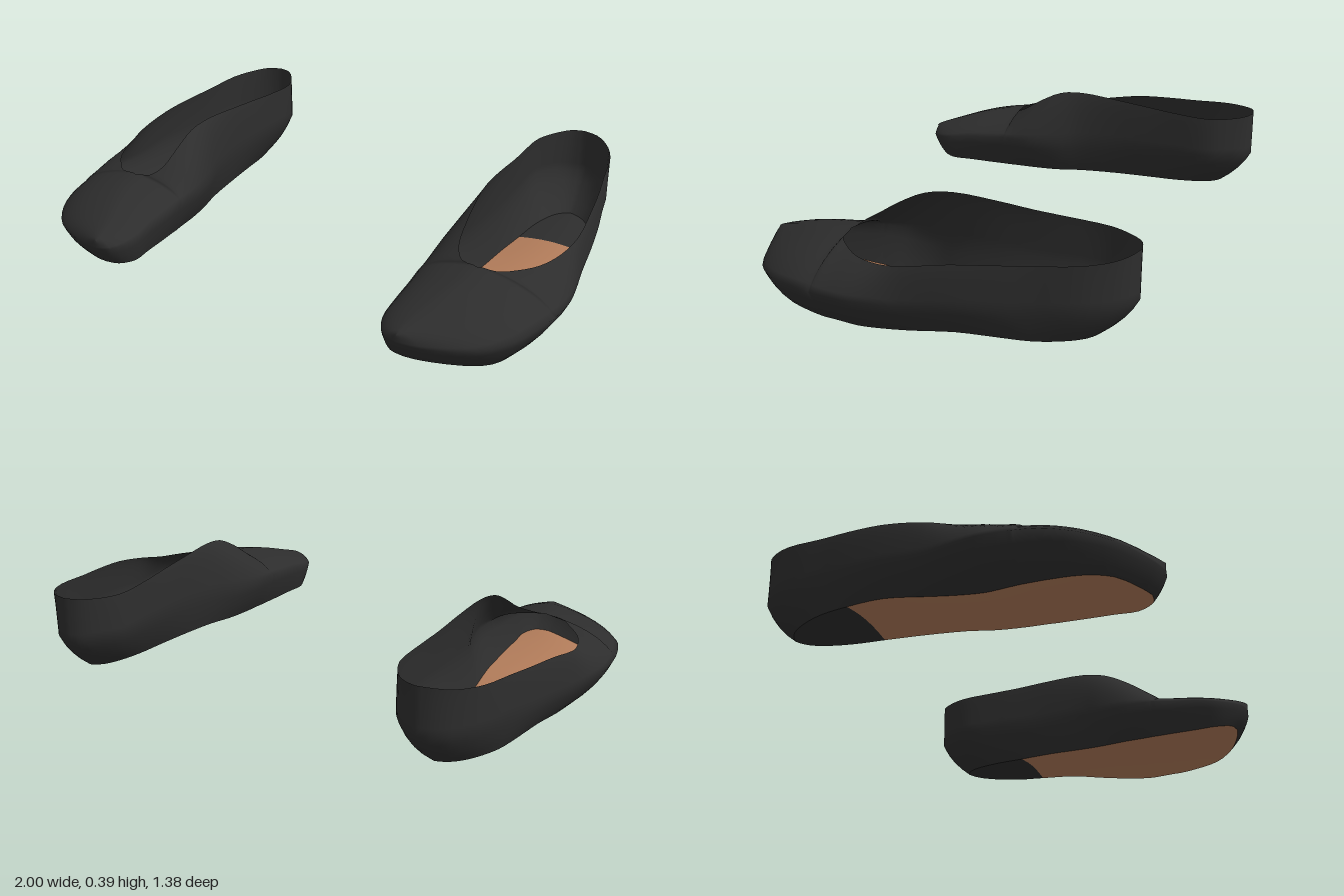
import * as THREE from 'three';
import { mergeVertices } from 'three/addons/utils/BufferGeometryUtils.js';

// Stations from toe to heel: [z, soleX, soleY, widestX, widestY, rimX, rimY]
const OUTER = [
  [0.69, 0.61, 0.05, 0.61, 0.125, 0.61, 0.155],
  [0.675, 0.66, 0.045, 0.685, 0.12, 0.615, 0.165],
  [0.6, 0.79, 0.035, 0.85, 0.12, 0.64, 0.19],
  [0.5, 0.86, 0.02, 0.935, 0.13, 0.68, 0.22],
  [0.4, 0.89, 0.01, 0.975, 0.14, 0.71, 0.24],
  [0.325, 0.9, 0.005, 0.992, 0.14, 0.715, 0.25],
  [0.315, 0.9, 0.005, 0.993, 0.14, 0.78, 0.247],
  [0.27, 0.9, 0.003, 0.998, 0.14, 0.83, 0.243],
  [0.2, 0.9, 0.0, 1.0, 0.14, 0.885, 0.243],
  [0.1, 0.9, 0.01, 0.985, 0.14, 0.922, 0.25],
  [0, 0.9, 0.025, 0.965, 0.14, 0.94, 0.27],
  [-0.15, 0.895, 0.05, 0.945, 0.16, 0.93, 0.3],
  [-0.29, 0.88, 0.055, 0.92, 0.17, 0.91, 0.315],
  [-0.4, 0.86, 0.055, 0.895, 0.18, 0.888, 0.325],
  [-0.55, 0.82, 0.055, 0.86, 0.19, 0.86, 0.34],
  [-0.64, 0.78, 0.055, 0.805, 0.19, 0.81, 0.35],
  [-0.68, 0.745, 0.055, 0.755, 0.19, 0.76, 0.358],
  [-0.695, 0.72, 0.055, 0.71, 0.19, 0.705, 0.36],
];
const INNER = [
  [0.69, 0.61, 0.05, 0.61, 0.125, 0.61, 0.155],
  [0.675, 0.56, 0.05, 0.555, 0.13, 0.615, 0.165],
  [0.6, 0.53, 0.045, 0.512, 0.14, 0.64, 0.19],
  [0.5, 0.535, 0.045, 0.508, 0.16, 0.68, 0.22],
  [0.4, 0.54, 0.045, 0.505, 0.17, 0.71, 0.24],
  [0.325, 0.545, 0.045, 0.502, 0.18, 0.715, 0.25],
  [0.315, 0.545, 0.045, 0.502, 0.18, 0.655, 0.255],
  [0.27, 0.55, 0.045, 0.5, 0.18, 0.622, 0.28],
  [0.2, 0.555, 0.045, 0.502, 0.18, 0.612, 0.325],
  [0.1, 0.57, 0.045, 0.525, 0.18, 0.607, 0.375],
  [0, 0.59, 0.05, 0.557, 0.19, 0.597, 0.39],
  [-0.15, 0.605, 0.055, 0.573, 0.2, 0.588, 0.382],
  [-0.29, 0.62, 0.055, 0.572, 0.2, 0.583, 0.37],
  [-0.4, 0.63, 0.055, 0.57, 0.2, 0.575, 0.362],
  [-0.55, 0.65, 0.055, 0.57, 0.2, 0.575, 0.355],
  [-0.64, 0.675, 0.055, 0.62, 0.2, 0.62, 0.357],
  [-0.68, 0.7, 0.055, 0.665, 0.19, 0.66, 0.36],
  [-0.695, 0.72, 0.055, 0.71, 0.19, 0.705, 0.36],
];
const STEPS = 3;                        // rows per station
const ROWS = (OUTER.length - 1) * STEPS;
const SEAM_ROW = 5 * STEPS;             // the top is closed in front of this row
const HEEL_ROW = 12 * STEPS;            // the sole patch changes here
const ACROSS = 6;

// The sole is shorter than the upper at both ends
function soleZ(z) {
  if (z < -0.4) return -0.4 + (z + 0.4) * 0.6;
  return z > 0.5 ? 0.5 + (z - 0.5) * 0.75 : z;
}

// Smooth rails along the foot, sampled row by row
function rails(table) {
  const rail = (col, zOf) => {
    const curve = new THREE.CatmullRomCurve3(
      table.map(s => new THREE.Vector3(s[col], s[col + 1], zOf(s[0]))));
    return Array.from({ length: ROWS + 1 }, (_, i) => curve.getPoint(i / ROWS));
  };
  return { sole: rail(1, soleZ), mid: rail(3, z => z), rim: rail(5, z => z) };
}

// Half a cross-section, from the sole edge out to the widest point and up to the rim
function section(r, i) {
  const a = r.sole[i], b = r.mid[i], c = r.rim[i];
  const bend = (p, q, fx, fy) => new THREE.Vector3(
    p.x + (q.x - p.x) * fx, p.y + (q.y - p.y) * fy, p.z + (q.z - p.z) * 0.7);
  const low = new THREE.QuadraticBezierCurve3(a, bend(a, b, 0.7, 0.45), b).getPoints(4);
  const high = new THREE.QuadraticBezierCurve3(b, bend(b, c, 0.25, 0.75), c).getPoints(8);
  return low.concat(high.slice(1));
}

// Skin a list of grids (rows of points); side -1 mirrors the result
function skin(grids, side) {
  const pos = [], index = [];
  for (const grid of grids) {
    const base = pos.length / 3, w = grid[0].length;
    for (const row of grid) for (const p of row) pos.push(p.x * side, p.y, p.z);
    for (let i = 0; i < grid.length - 1; i++) {
      for (let j = 0; j < w - 1; j++) {
        const a = base + i * w + j, b = a + 1, c = a + w, d = c + 1;
        if (side > 0) index.push(a, c, b, b, c, d);
        else index.push(a, b, c, b, d, c);
      }
    }
  }
  let geo = new THREE.BufferGeometry();
  geo.setAttribute('position', new THREE.Float32BufferAttribute(pos, 3));
  geo.setIndex(index);
  geo = mergeVertices(geo, 1e-5);
  geo.computeVertexNormals();
  return geo;
}

export function createModel() {
  const black = new THREE.MeshStandardMaterial({ color: 0x2d2d2d, side: THREE.DoubleSide });
  black.name = 'black leather';
  const tan = new THREE.MeshStandardMaterial({ color: 0xb27c5a, side: THREE.DoubleSide });
  tan.name = 'tan sole';

  const outer = rails(OUTER), inner = rails(INNER);
  // Close the top of the toe by joining the two rims
  for (let i = 0; i <= SEAM_ROW; i++) {
    outer.rim[i].lerp(inner.rim[i], 0.5);
    inner.rim[i].copy(outer.rim[i]);
  }

  const outerWall = [], innerWall = [], soleRows = [];
  for (let i = 0; i <= ROWS; i++) {
    outerWall.push(section(outer, i));
    innerWall.push(section(inner, i).reverse());
    // Slightly arched sole between the two sole edges
    soleRows.push(Array.from({ length: ACROSS + 1 }, (_, j) => {
      const t = j / ACROSS, p = inner.sole[i].clone().lerp(outer.sole[i], t);
      if (j > 0 && j < ACROSS) {
        p.y += 0.05 * Math.sin(Math.PI * t) * Math.abs(outer.sole[i].x - inner.sole[i].x);
      }
      return p;
    }));
  }

  const model = new THREE.Group();
  model.name = 'pair of flat shoes';
  for (const side of [1, -1]) {
    const shoe = new THREE.Group();
    shoe.name = side > 0 ? 'leftShoe' : 'rightShoe';
    const add = (name, grids, material) => {
      const mesh = new THREE.Mesh(skin(grids, side), material);
      mesh.name = name;
      shoe.add(mesh);
    };
    add('upper', [outerWall, innerWall], black);
    add('sole', [soleRows.slice(0, HEEL_ROW + 1)], tan);
    add('heelPatch', [soleRows.slice(HEEL_ROW)], black);
    model.add(shoe);
  }
  return model;
}
